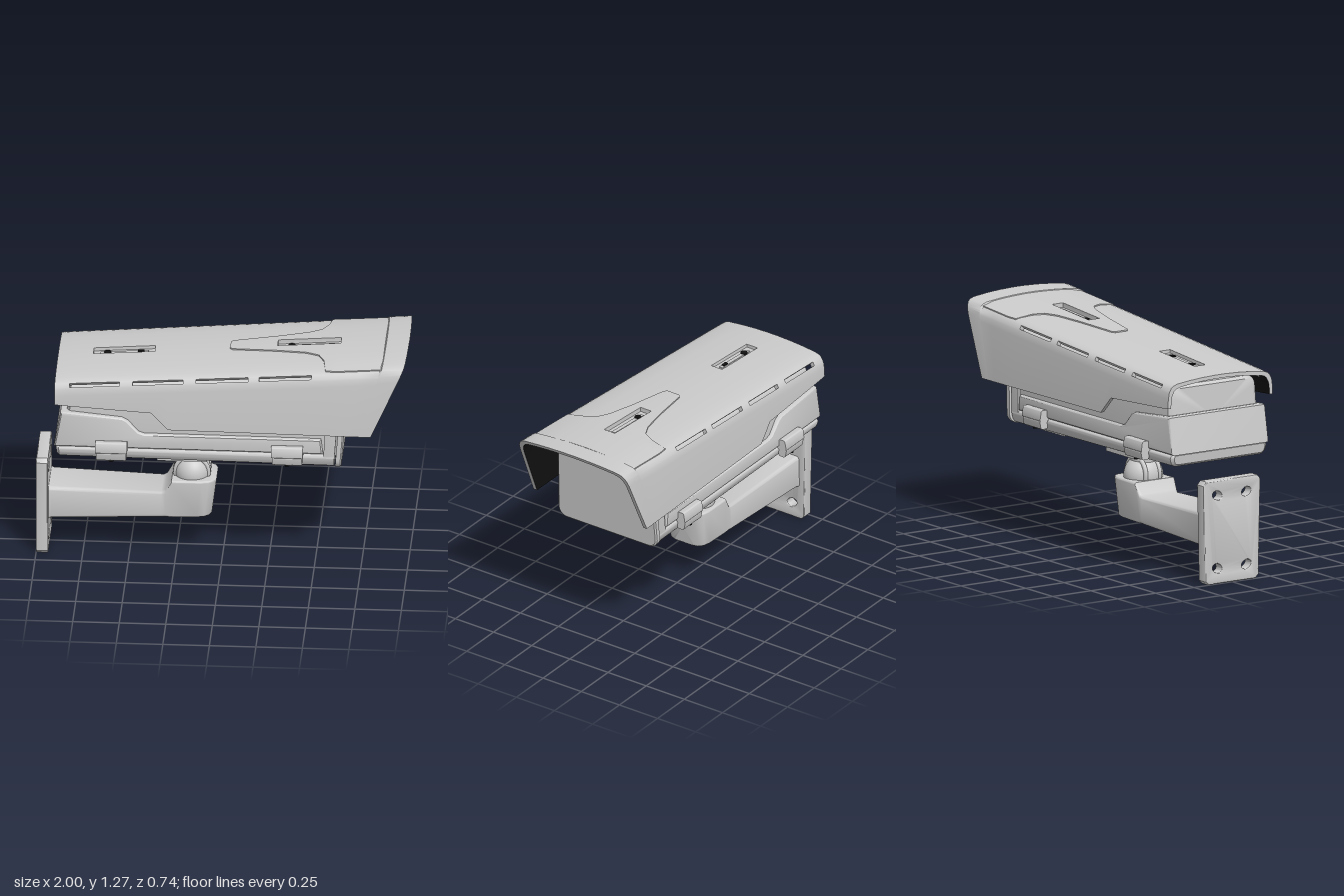
import * as THREE from 'three';
import { toCreasedNormals } from 'three/addons/utils/BufferGeometryUtils.js';

const grey = new THREE.MeshStandardMaterial({ color: 0xcccccc });
const black = new THREE.MeshStandardMaterial({ color: 0x111111 });
const clamp = THREE.MathUtils.clamp;

const fromTriangles = (pos) => {
  const g = new THREE.BufferGeometry();
  g.setAttribute('position', new THREE.Float32BufferAttribute(pos, 3));
  return toCreasedNormals(g, 0.6);
};

// Piecewise linear lookup through [x, y] pairs
function lookup(pairs, x) {
  for (let i = 1; i < pairs.length; i++) {
    const [x0, y0] = pairs[i - 1], [x1, y1] = pairs[i];
    if (x <= x1) return y0 + (y1 - y0) * clamp((x - x0) / (x1 - x0), 0, 1);
  }
  return pairs[pairs.length - 1][1];
}

// Solid through rounded trapezoid sections: [x bottom, x top, y0, y1, half width bottom, top, radius]
function loft(sections) {
  const rings = sections.map(([x0, x1, y0, y1, w0, w1, r]) => {
    const ring = [];
    [[1, 1], [-1, 1], [-1, -1], [1, -1]].forEach(([sz, sy], c) => {
      for (let k = 0; k <= 5; k++) {
        const a = (c + k / 5) * Math.PI / 2;
        const y = (sy > 0 ? y1 - r : y0 + r) + r * Math.sin(a);
        const t = (y - y0) / (y1 - y0);
        ring.push([x0 + (x1 - x0) * t, y, sz * (w0 + (w1 - w0) * t - r) + r * Math.cos(a)]);
      }
    });
    return ring;
  });
  const pos = [], n = rings[0].length;
  const tri = (...p) => p.forEach((q) => pos.push(...q));
  const centre = (ring) => [0, 1, 2].map((k) => ring.reduce((s, p) => s + p[k], 0) / n);
  const first = rings[0], last = rings[rings.length - 1];
  for (let j = 0; j < n; j++) {
    const m = (j + 1) % n;
    for (let i = 0; i + 1 < rings.length; i++) {
      tri(rings[i][j], rings[i + 1][j], rings[i][m]);
      tri(rings[i][m], rings[i + 1][j], rings[i + 1][m]);
    }
    tri(centre(first), first[j], first[m]);
    tri(centre(last), last[m], last[j]);
  }
  return fromTriangles(pos);
}

// Thick sheet over a grid of points, with cells left out as openings
function sheet(ni, nj, outer, inner, isOpen) {
  const skin = [], lining = [];
  const has = (i, j) => i >= 0 && j >= 0 && i < ni - 1 && j < nj - 1 && !isOpen(i, j);
  const quad = (out, a, b, c, d) => [a, b, c, a, c, d].forEach((p) => out.push(...p));
  for (let i = 0; i < ni - 1; i++) for (let j = 0; j < nj - 1; j++) {
    if (!has(i, j)) continue;
    const c = [[i, j], [i + 1, j], [i + 1, j + 1], [i, j + 1]];
    const o = c.map((p) => outer(...p)), n = c.map((p) => inner(...p));
    quad(skin, ...o);
    quad(lining, n[3], n[2], n[1], n[0]);
    [[i, j - 1], [i + 1, j], [i, j + 1], [i - 1, j]].forEach((nb, k) => {
      const m = (k + 1) % 4;
      if (!has(...nb)) quad(skin, o[m], o[k], n[k], n[m]);
    });
  }
  return [fromTriangles(skin), fromTriangles(lining)];
}

// Bevelled plate from an outline in x and y, centred on z = 0
function plate(points, depth, bevel, holes = []) {
  const s = new THREE.Shape(points.map((p) => new THREE.Vector2(...p)));
  s.holes.push(...holes);
  const g = new THREE.ExtrudeGeometry(s, { depth: depth - 2 * bevel, bevelThickness: bevel,
    bevelSize: bevel, bevelOffset: -bevel, bevelSegments: 3, curveSegments: 16 });
  return toCreasedNormals(g.translate(0, 0, bevel - depth / 2), 0.5);
}

export function createModel() {
  const model = new THREE.Group();
  const add = (name, geo, x = 0, y = 0, z = 0, mat = grey) => {
    const m = new THREE.Mesh(geo, mat);
    m.name = name;
    m.position.set(x, y, z);
    model.add(m);
    return m;
  };
  const box = (...s) => new THREE.BoxGeometry(...s);
  const cyl = (r0, r1, h, n = 32) => new THREE.CylinderGeometry(r0, r1, h, n);

  // Sunshield: sloping roof with a rounded shoulder and flared skirts
  const slope = 0.0715;
  const roof = (x) => 1.12 + (x + 0.89) * slope;
  const width = (x) => 1 + 0.05 * clamp((x + 0.9) / 1.5, 0, 1);
  const skirt = [[-0.91, 0.97], [-0.37, 0.94], [-0.28, 0.845], [0.81, 0.84]];
  const half = [[0.337, -1], [0.337, -0.1], [0.333, -0.065], [0.329, -0.055], [0.319, -0.036],
    [0.305, -0.026], [0.28, -0.018], [0.2, -0.009], [0.12, -0.003], [0.035, 0], [0, 0]];
  const profile = [...half, ...half.slice(0, -1).reverse().map(([z, d]) => [-z, d])];
  const stations = [-0.91, -0.81, -0.7, -0.54, -0.47, -0.37, -0.28, -0.2, -0.13, 0.15, 0.21,
    0.29, 0.49, 0.55, 0.63, 0.69, 0.745, 0.75, 0.81];
  const slots = [[-0.81, -0.54], [-0.47, -0.2], [-0.13, 0.15], [0.21, 0.49]];
  const recesses = [[-0.7, -0.37], [0.29, 0.63]];
  const within = (list, x) => list.some(([a, b]) => x > a && x < b);

  const shieldPoint = (inset) => (i, j) => {
    const s = stations[i], [h, d] = profile[j];
    const k = clamp((s - 0.63) / 0.18, 0, 1);
    const top = roof(s + 0.19 * k) + (s > 0.747 ? 0.01 : 0);
    const y = d === -1 ? lookup(skirt, s) : top + d - inset;
    const z = h * width(s) + Math.sign(h) * 0.04 * (top - y);
    const lean = (i === 0 ? 0.02 : 0) + 0.19 * k * clamp((y - 0.84) / (top - 0.84), 0, 1);
    return [s + lean, y, z * (1 - inset * 3)];
  };
  const [shell, liner] = sheet(stations.length, profile.length, shieldPoint(0), shieldPoint(0.02), (i, j) => {
    const x = (stations[i] + stations[i + 1]) / 2;
    const side = Math.min(j, profile.length - 2 - j);
    return (side === 3 && within(slots, x)) || (side === 9 && within(recesses, x));
  });
  add('sunshield', shell);
  add('sunshieldLiner', liner, 0, 0, 0, black);

  // Raised front panel with its tongue along the roof
  const tongue = [[0.035, 0.038], [0.05, 0.052], [0.29, 0.09], [0.45, 0.125], [0.52, 0.16], [0.55, 0.22],
    [0.565, 0.32], [0.63, 0.325], [0.87, 0.325]];
  const across = [1, 0.75, 0.5, 0.25, 0, -1, -2, -3, -4, -5, -6];
  const drops = half.slice(1).reverse();
  const panelPoint = (lift) => (i, j) => {
    const [x, w] = tongue[i];
    const m = j <= 5 ? j : 10 - j;
    const z = m === 5 ? 0 : 0.035 + (w - 0.035) * across[m];
    return [x, roof(x) + lookup(drops, z / width(x)) + lift, j <= 5 ? z : -z];
  };
  const [panel, panelBack] = sheet(tongue.length, across.length, panelPoint(0.007), panelPoint(-0.008),
    (i, j) => (j === 4 || j === 5) && within(recesses, (tongue[i][0] + tongue[i + 1][0]) / 2));
  add('frontPanel', panel);
  add('frontPanelBack', panelBack);

  // Sunken adjustment tracks in the roof
  for (const [a, b] of recesses) {
    const x = (a + b) / 2, y = roof(x) - 0.022, len = b - a;
    add('trackFloor', box(len + 0.02, 0.008, 0.08), x, y, 0).rotation.z = Math.atan(slope);
    add('trackRail', box(len - 0.07, 0.01, 0.022), x, y + 0.004, 0).rotation.z = Math.atan(slope);
    add('trackScrew', cyl(0.019, 0.019, 0.012, 20), a + 0.075, roof(a + 0.075) - 0.014, 0, black);
  }
  add('trackStop', box(0.035, 0.012, 0.02), -0.445, roof(-0.445) - 0.014, 0, black);

  // Housing: upper body, stepped side body, tray and front window frame
  add('upperHousing', loft([
    [-0.835, -0.82, 0.7, 1.055, 0.28, 0.26, 0.05],
    [-0.82, -0.805, 0.69, 1.07, 0.3, 0.28, 0.05],
    [0.6, 0.64, 0.66, 1.135, 0.3, 0.285, 0.05]]));
  add('sideBody', plate([[-0.895, 0.71], [-0.86, 0.91], [-0.84, 0.915], [-0.53, 0.885], [-0.5, 0.87],
    [-0.44, 0.805], [-0.41, 0.795], [0.54, 0.79], [0.55, 0.703]], 0.635, 0.015));
  add('tray', loft([
    [-0.88, -0.885, 0.655, 0.705, 0.29, 0.3, 0.02],
    [-0.865, -0.87, 0.643, 0.707, 0.3, 0.32, 0.025],
    [0.61, 0.61, 0.625, 0.7, 0.3, 0.32, 0.025]]));
  add('frontCollar', loft([
    [0.55, 0.58, 0.64, 1.13, 0.315, 0.298, 0.05],
    [0.608, 0.645, 0.63, 1.14, 0.315, 0.298, 0.05]]));
  add('frontFace', loft([
    [0.615, 0.655, 0.62, 1.15, 0.325, 0.303, 0.055],
    [0.64, 0.68, 0.62, 1.15, 0.325, 0.303, 0.055],
    [0.648, 0.688, 0.628, 1.142, 0.317, 0.295, 0.05]]));

  // Latches on both sides
  for (const side of [1, -1]) for (const x of [-0.585, 0.36]) {
    add('latch', loft([
      [x - 0.085, x - 0.085, 0.695, 0.755, 0.03, 0.02, 0.01],
      [x + 0.085, x + 0.085, 0.695, 0.755, 0.03, 0.02, 0.01]]), 0, 0, side * 0.335);
    add('latchKeeper', loft([
      [x - 0.08, x - 0.08, 0.65, 0.7, 0.02, 0.03, 0.01],
      [x + 0.08, x + 0.08, 0.65, 0.7, 0.02, 0.03, 0.01]]), 0, 0, side * 0.333);
    add('latchScrew', cyl(0.014, 0.014, 0.01, 16), x, 0.648, side * 0.335, black);
  }

  // Underside plates with screws
  const underPlate = (name, x, y, sx, sy, sz, inset) => {
    add(name, box(sx, sy, sz), x, y, 0);
    for (const a of [1, -1]) for (const b of [1, -1])
      add('plateScrew', cyl(0.014, 0.014, 0.006, 16), x + a * (sx / 2 - inset), y - sy / 2, b * (sz / 2 - inset), black);
  };
  underPlate('frontCover', 0.425, 0.615, 0.35, 0.025, 0.45, 0.04);
  underPlate('mountPlate', -0.215, 0.592, 0.27, 0.03, 0.36, 0.035);
  add('mountPad', box(0.3, 0.04, 0.38), -0.215, 0.622, 0);
  add('rearCover', box(0.22, 0.008, 0.3), -0.55, 0.641, 0);

  // Swivel neck and ball joint
  add('neck', cyl(0.075, 0.066, 0.12), -0.17, 0.525, 0);
  add('neckFlange', cyl(0.095, 0.085, 0.02), -0.17, 0.572, 0);
  add('ballJoint', new THREE.SphereGeometry(0.1, 32, 20).scale(1, 1.05, 1.1), -0.17, 0.445, 0);
  for (const z of [0.045, -0.045])
    add('jointRib', new THREE.TorusGeometry(0.088, 0.013, 10, 32), -0.17, 0.455, z);

  // Wall arm rising into the joint cup
  add('arm', loft([
    [-0.95, -0.95, 0.19, 0.385, 0.15, 0.15, 0.02],
    [-0.92, -0.92, 0.197, 0.378, 0.142, 0.135, 0.02],
    [-0.33, -0.33, 0.21, 0.36, 0.125, 0.122, 0.02],
    [-0.31, -0.31, 0.21, 0.37, 0.122, 0.125, 0.02],
    [-0.285, -0.275, 0.21, 0.43, 0.12, 0.13, 0.012],
    [-0.14, -0.115, 0.213, 0.432, 0.118, 0.13, 0.012],
    [-0.1, -0.075, 0.214, 0.432, 0.11, 0.122, 0.012],
    [-0.075, -0.05, 0.216, 0.432, 0.092, 0.104, 0.012],
    [-0.062, -0.035, 0.22, 0.43, 0.065, 0.075, 0.012]]));
  add('armScrew', cyl(0.022, 0.022, 0.01, 20), -0.17, 0.211, 0, black);

  // Wall plate with four slanted slots
  const holes = [];
  for (const a of [1, -1]) for (const y of [0.085, 0.485])
    holes.push(new THREE.Path().absellipse(a * 0.095, y, 0.031, 0.024, 0, Math.PI * 2, true, a * 0.35));
  const wall = plate([[-0.155, 0], [0.155, 0], [0.175, 0.02], [0.187, 0.545], [0.167, 0.567],
    [-0.167, 0.567], [-0.187, 0.545], [-0.175, 0.02]], 0.065, 0.008, holes);
  add('wallPlate', wall, -0.9675, 0, 0).rotation.y = Math.PI / 2;
  return model;
}
